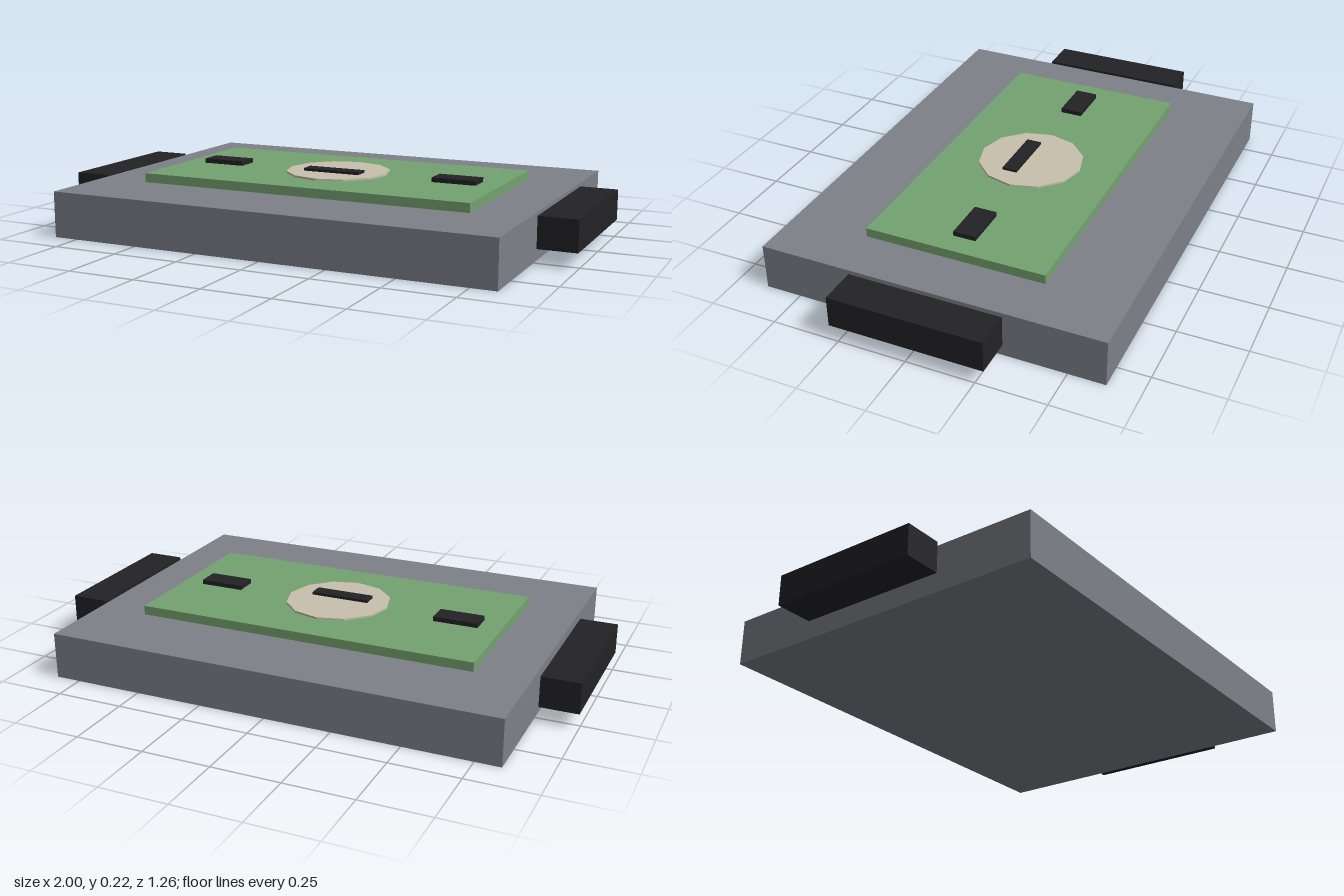
import * as THREE from 'three';

const mat = (color) => new THREE.MeshStandardMaterial({ color, flatShading: true });

export function createModel() {
  const model = new THREE.Group();
  model.name = 'consoleTray';
  const grey = mat(0x7d8188);
  const green = mat(0x74a26f);
  const cream = mat(0xc9c0ad);
  const black = mat(0x222226);

  // Box given by its size, centre in x and z, and bottom height
  const box = (name, material, [w, h, d], x, bottom, z) => {
    const mesh = new THREE.Mesh(new THREE.BoxGeometry(w, h, d), material);
    mesh.name = name;
    mesh.position.set(x, bottom + h / 2, z);
    model.add(mesh);
  };

  // Slab body and raised panel
  box('body', grey, [1.685, 0.17, 1.265], 0, 0, 0);
  box('topPanel', green, [1.29, 0.034, 0.674], 0, 0.17, 0);

  // Twelve-sided central disc
  const disc = new THREE.Mesh(new THREE.CylinderGeometry(0.197, 0.197, 0.007, 12), cream);
  disc.name = 'disc';
  disc.position.y = 0.2075;
  model.add(disc);

  // Bar lying on the disc, a little forward of centre
  box('discBar', black, [0.225, 0.01, 0.056], 0, 0.211, 0.038);

  // Mirrored side handles and panel pads
  for (const [side, s] of [['left', 1], ['right', -1]]) {
    box(side + 'Handle', black, [0.14, 0.113, 0.562], s * 0.93, 0.057, 0);
    box(side + 'Pad', black, [0.168, 0.017, 0.084], s * 0.478, 0.204, 0);
  }
  return model;
}
